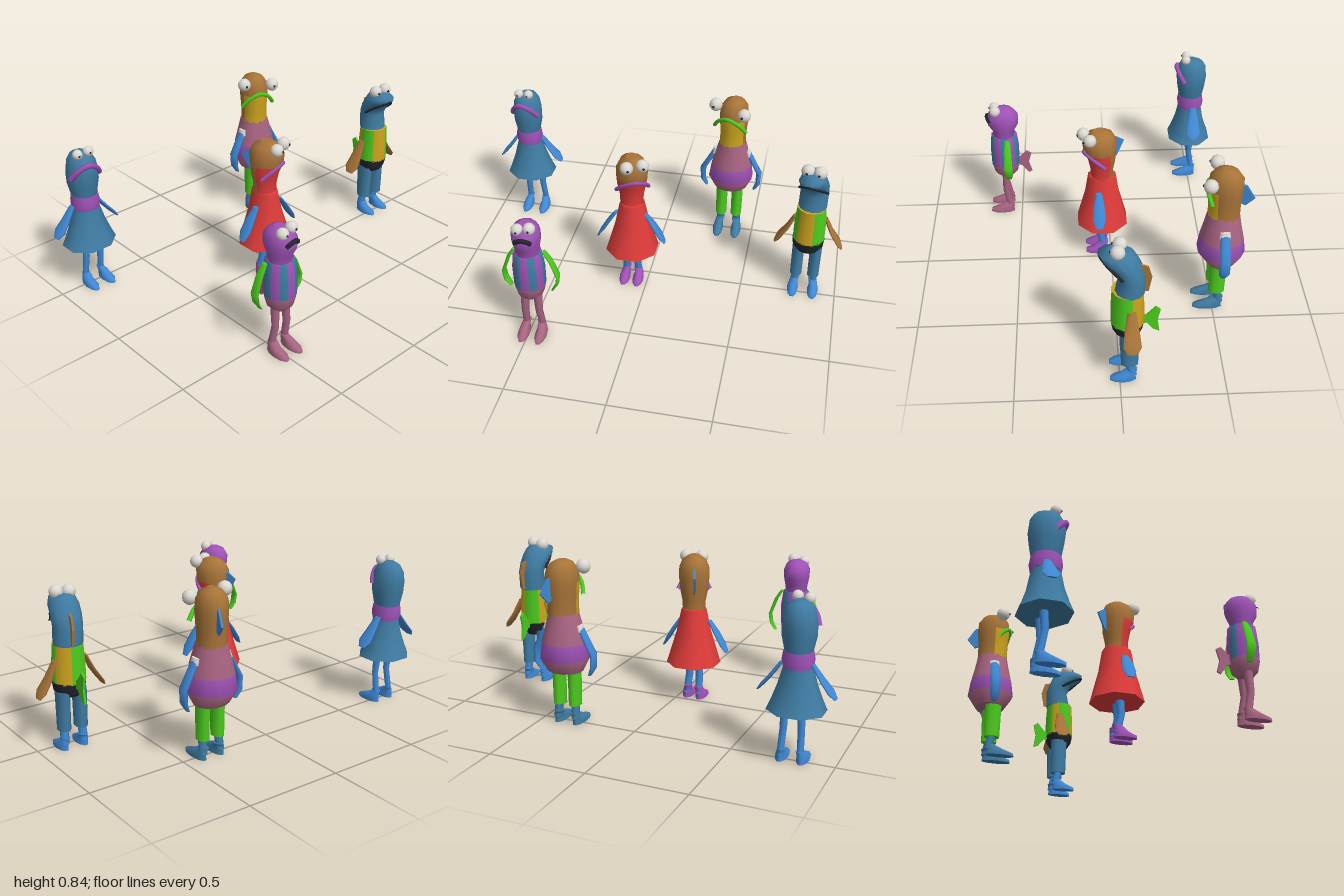
import * as THREE from 'three';

const M = {};
for (const [name, color] of Object.entries({
  white: 0xdcd8d2, steelBlue: 0x3f7ca3, brightBlue: 0x3f88d4, purple: 0xa052b8, brown: 0xa87438,
  red: 0xe03c3a, green: 0x4ccc1e, yellow: 0xcca41e, mauve: 0xa86482, black: 0x22262e,
})) M[name] = new THREE.MeshStandardMaterial({ color, name });

function add(parent, name, geo, mat) {
  const m = new THREE.Mesh(geo, mat);
  m.name = name;
  parent.add(m);
  return m;
}

// Closed skin over rising elliptical rings [y, rx, rz, cx, cz]; paint(ring, side) picks the colour
function loft(parent, name, rings, paint, n = 12) {
  const pos = [], idx = [], mats = [], geo = new THREE.BufferGeometry();
  const pick = typeof paint === 'function' ? paint : () => paint;
  const face = (mat, ...ids) => {
    if (!mats.includes(mat)) mats.push(mat);
    geo.addGroup(idx.length, ids.length, mats.indexOf(mat));
    idx.push(...ids);
  };
  const ring = ([y, rx, rz = rx, cx = 0, cz = 0]) => {
    for (let j = 0; j < n; j++) {
      const a = ((j - 0.5) / n) * Math.PI * 2;
      pos.push(cx + rx * Math.sin(a), y, cz + rz * Math.cos(a));
    }
  };
  rings.forEach(ring);
  const last = rings.length - 1;
  for (let i = 0; i < last; i++) for (let j = 0; j < n; j++) {
    const k = (j + 1) % n, a = i * n + j, b = i * n + k;
    face(pick(i, j), a, b, b + n, a, b + n, a + n);
  }
  // end caps
  for (const [i, up] of [[0, false], [last, true]]) {
    const s = pos.length / 3;
    ring(rings[i]);
    for (let j = 1; j < n - 1; j++) {
      face(pick(up ? last - 1 : 0, 0), s, up ? s + j : s + j + 1, up ? s + j + 1 : s + j);
    }
  }
  geo.setAttribute('position', new THREE.Float32BufferAttribute(pos, 3));
  geo.setIndex(idx);
  geo.computeVertexNormals();
  return add(parent, name, geo, mats.length > 1 ? mats : mats[0]);
}

// Thin upright fin: points are [distance backward, y]
function fin(parent, name, pts, mat) {
  const shape = new THREE.Shape(pts.map(p => new THREE.Vector2(...p)));
  const geo = new THREE.ExtrudeGeometry(shape, { depth: 0.01, bevelEnabled: false });
  geo.rotateY(Math.PI / 2).translate(-0.005, 0, 0);
  add(parent, name, geo, mat);
}

// Curved lips: corners at (w, y0, z0), middle at (0, y1, z1)
function lips(parent, w, y0, z0, y1, z1, r, mat) {
  const curve = new THREE.CatmullRomCurve3([-1, -0.6, 0, 0.6, 1].map(t => {
    const k = 1 - t * t;
    return new THREE.Vector3(w * t, y0 + (y1 - y0) * k, z0 + (z1 - z0) * k);
  }));
  add(parent, 'lips', new THREE.TubeGeometry(curve, 16, r, 6), mat);
}

function eyes(parent, sep, yRight, yLeft, z, r) {
  for (const [s, y, side] of [[-1, yRight, 'right'], [1, yLeft, 'left']]) {
    const eye = new THREE.Group();
    eye.name = side + 'Eye';
    eye.position.set(s * sep, y, z);
    add(eye, 'eyeball', new THREE.SphereGeometry(r, 12, 8), M.white);
    add(eye, 'pupil', new THREE.SphereGeometry(r * 0.2, 8, 6), M.black).position.z = r * 0.93;
    parent.add(eye);
  }
}

// Legs with feet; pants = [low y, radius, material] is optional
function legs(parent, { sep, cx = 0, z, top, r, skin, shoe = skin, len = 0.07, pants, heel = 0 }) {
  for (const [s, side] of [[-1, 'right'], [1, 'left']]) {
    const x = cx + s * sep;
    loft(parent, side + 'Leg', [[0.03, r * 0.9, r, x + s * 0.006, z - 0.015], [top * 0.55, r, r, x, z + 0.008],
      [top, r * 1.2, r * 1.3, x - s * 0.004, z]], skin, 8);
    if (pants) loft(parent, side + 'TrouserLeg', [[pants[0], pants[1], pants[1] * 1.35, x, z],
      [top, pants[1] * 1.05, pants[1] * 1.5, x, z]], pants[2], 8);
    const fx = x + s * 0.008, fz = z + len - 0.035;
    loft(parent, side + 'Foot', [[0, 0.027, len, fx, fz], [0.016, 0.029, len * 0.96, fx, fz],
      [0.036, 0.022, len * 0.6, fx, fz - len * 0.35], [0.06 + heel, r, r * 1.2, x, z - 0.012]], shoe, 10);
  }
}

// Blade-like arms: rows run from hand to shoulder as [y, distance out, half thickness, half depth]
function arms(parent, rows, z, mat) {
  for (const [s, side] of [[-1, 'right'], [1, 'left']]) {
    loft(parent, side + 'Arm', rows.map(([y, x, t, d]) => [y, t, d, s * x, z]), mat, 8);
  }
}

function figure(root, name, x, z, yaw) {
  const body = new THREE.Group(), head = new THREE.Group();
  body.name = name;
  body.position.set(x, 0, z);
  head.name = 'head';
  head.rotation.y = yaw;
  body.add(head);
  root.add(body);
  return [body, head];
}

const front = (j, k, n = 12) => j <= k || j >= n - k;

function blueDress(root) {
  const [b, h] = figure(root, 'blueDressFish', -0.81, -0.5, -0.12);
  legs(b, { sep: 0.042, cx: 0.015, z: -0.01, top: 0.29, r: 0.017, skin: M.brightBlue });
  loft(b, 'dress', [[0.25, 0.14, 0.128], [0.3, 0.118, 0.108], [0.37, 0.092, 0.085], [0.46, 0.066, 0.068]], M.steelBlue, 8);
  loft(b, 'collar', [[0.455, 0.069, 0.07], [0.49, 0.074, 0.076], [0.53, 0.068, 0.07]], M.purple);
  arms(b, [[0.33, 0.178, 0.006, 0.022], [0.36, 0.155, 0.012, 0.042], [0.41, 0.115, 0.012, 0.032], [0.475, 0.07, 0.01, 0.018]], -0.01, M.brightBlue);
  loft(h, 'headSkin', [[0.525, 0.064, 0.067], [0.6, 0.08, 0.08], [0.66, 0.08, 0.087], [0.71, 0.071, 0.082],
    [0.745, 0.052, 0.062], [0.762, 0.025, 0.03]], M.steelBlue);
  lips(h, 0.077, 0.64, 0.035, 0.715, 0.086, 0.014, M.purple);
  eyes(h, 0.029, 0.762, 0.766, 0.035, 0.026);
}

function smallPurple(root) {
  const [b, h] = figure(root, 'smallPurpleFish', -0.477, 0.575, 0.08);
  legs(b, { sep: 0.036, z: 0, top: 0.27, r: 0.019, skin: M.mauve });
  const stripes = (i, j) => i < 2 ? M.mauve : [1, 3, 5, 7, 9, 11].includes(j) ? M.steelBlue : M.purple;
  loft(b, 'stripedBody', [[0.235, 0.035, 0.04], [0.265, 0.066, 0.066], [0.32, 0.079, 0.079], [0.42, 0.08, 0.08],
    [0.5, 0.07, 0.072], [0.505, 0.05, 0.05]], stripes);
  arms(b, [[0.27, 0.105, 0.006, 0.015], [0.31, 0.13, 0.008, 0.024], [0.36, 0.138, 0.008, 0.025],
    [0.45, 0.105, 0.009, 0.022], [0.5, 0.075, 0.008, 0.016]], -0.02, M.green);
  fin(b, 'tailFin', [[0.06, 0.3], [0.09, 0.29], [0.125, 0.24], [0.145, 0.25], [0.128, 0.31], [0.145, 0.37],
    [0.12, 0.385], [0.085, 0.35], [0.06, 0.34]], M.mauve);
  loft(h, 'headSkin', [[0.495, 0.056, 0.055], [0.54, 0.062, 0.062], [0.58, 0.069, 0.085], [0.625, 0.07, 0.087],
    [0.66, 0.055, 0.06], [0.675, 0.025, 0.03]], M.purple);
  lips(h, 0.038, 0.605, 0.07, 0.628, 0.085, 0.012, M.black);
  eyes(h, 0.029, 0.66, 0.67, 0.04, 0.03);
}

function redDress(root) {
  const [b, h] = figure(root, 'redDressFish', -0.085, 0.045, 0.4);
  legs(b, { sep: 0.028, z: 0.005, top: 0.23, r: 0.02, skin: M.brightBlue, shoe: M.purple, len: 0.062, heel: 0.01 });
  loft(b, 'redDress', [[0.2, 0.142, 0.142], [0.375, 0.088, 0.096], [0.49, 0.064, 0.078], [0.5, 0.058, 0.07]], M.red, 8);
  arms(b, [[0.27, 0.178, 0.005, 0.02], [0.31, 0.155, 0.011, 0.036], [0.37, 0.12, 0.012, 0.032], [0.43, 0.08, 0.01, 0.018]], 0.02, M.brightBlue);
  const throat = (i, j) => i < 3 && front(j, 3) ? M.red : M.brown;
  loft(h, 'headSkin', [[0.49, 0.06, 0.06], [0.54, 0.062, 0.06], [0.6, 0.074, 0.072], [0.655, 0.08, 0.085, 0, 0.01],
    [0.71, 0.08, 0.092, 0, 0.012], [0.75, 0.062, 0.075, 0, 0.015], [0.775, 0.028, 0.035, 0, 0.015]], throat);
  lips(h, 0.084, 0.59, 0.02, 0.665, 0.098, 0.011, M.purple);
  fin(h, 'backFin', [[0.06, 0.58], [0.085, 0.6], [0.125, 0.68], [0.07, 0.72]], M.brightBlue);
  eyes(h, 0.04, 0.75, 0.755, 0.085, 0.034);
}

function tallBrown(root) {
  const [b, h] = figure(root, 'tallBrownFish', 0.358, -0.53, -0.3);
  legs(b, { sep: 0.043, z: 0.012, top: 0.31, r: 0.022, skin: M.steelBlue, len: 0.078, pants: [0.1, 0.031, M.green] });
  loft(b, 'sweater', [[0.28, 0.09, 0.075], [0.35, 0.124, 0.121], [0.43, 0.113, 0.11], [0.51, 0.092, 0.092],
    [0.575, 0.072, 0.08]], i => i === 1 ? M.purple : M.mauve);
  arms(b, [[0.27, 0.135, 0.008, 0.015], [0.31, 0.155, 0.014, 0.028], [0.38, 0.158, 0.016, 0.028],
    [0.45, 0.12, 0.015, 0.027], [0.51, 0.09, 0.014, 0.024]], 0, M.brightBlue);
  for (const s of [-1, 1]) {
    loft(b, 'shoulderCuff', [[0.49, 0.016, 0.029, s * 0.096], [0.52, 0.015, 0.026, s * 0.086]], M.white, 8);
  }
  const throat = (i, j) => i < 3 && front(j, 2) ? M.yellow : M.brown;
  loft(h, 'headSkin', [[0.565, 0.072, 0.08], [0.62, 0.07, 0.08], [0.67, 0.074, 0.082], [0.73, 0.078, 0.088],
    [0.785, 0.074, 0.084], [0.82, 0.052, 0.06], [0.837, 0.02, 0.025]], throat);
  lips(h, 0.094, 0.67, 0.045, 0.745, 0.088, 0.011, M.green);
  fin(h, 'backFin', [[0.07, 0.65], [0.1, 0.64], [0.142, 0.69], [0.1, 0.755], [0.07, 0.76]], M.brightBlue);
  eyes(h, 0.084, 0.805, 0.78, 0.06, 0.036);
}

function stripedVest(root) {
  const [b, h] = figure(root, 'stripedVestFish', 0.83, -0.035, -0.2);
  legs(b, { sep: 0.045, z: -0.01, top: 0.3, r: 0.022, skin: M.brightBlue, len: 0.065, pants: [0.1, 0.032, M.steelBlue] });
  loft(b, 'shorts', [[0.27, 0.055, 0.05], [0.3, 0.078, 0.07], [0.345, 0.084, 0.079]], M.black);
  loft(b, 'vest', [[0.34, 0.083, 0.079], [0.44, 0.082, 0.078], [0.535, 0.074, 0.073]],
    (i, j) => [11, 0, 4, 5, 8].includes(j) ? M.yellow : M.green);
  arms(b, [[0.29, 0.172, 0.005, 0.024], [0.32, 0.155, 0.011, 0.045], [0.38, 0.115, 0.012, 0.036], [0.46, 0.078, 0.01, 0.02]], -0.015, M.brown);
  fin(b, 'tailFin', [[0.065, 0.32], [0.09, 0.32], [0.12, 0.28], [0.15, 0.265], [0.14, 0.34], [0.152, 0.4],
    [0.13, 0.418], [0.09, 0.37], [0.065, 0.36]], M.green);
  // Head leaning forward into a blunt snout
  loft(h, 'headSkin', [[0.53, 0.072, 0.07, 0, -0.01], [0.62, 0.072, 0.062, 0, -0.02], [0.67, 0.074, 0.066, 0, 0],
    [0.71, 0.073, 0.084, 0, 0.035], [0.74, 0.062, 0.085, 0, 0.052], [0.762, 0.035, 0.05, 0, 0.04]], M.steelBlue);
  lips(h, 0.073, 0.64, 0.01, 0.726, 0.13, 0.007, M.black);
  fin(h, 'backFin', [[0.05, 0.53], [0.095, 0.54], [0.108, 0.62], [0.09, 0.68], [0.04, 0.69]], M.brown);
  eyes(h, 0.031, 0.765, 0.768, 0.042, 0.034);
}

export function createModel() {
  const root = new THREE.Group();
  root.name = 'fishFamily';
  for (const build of [blueDress, smallPurple, redDress, tallBrown, stripedVest]) build(root);
  return root;
}
